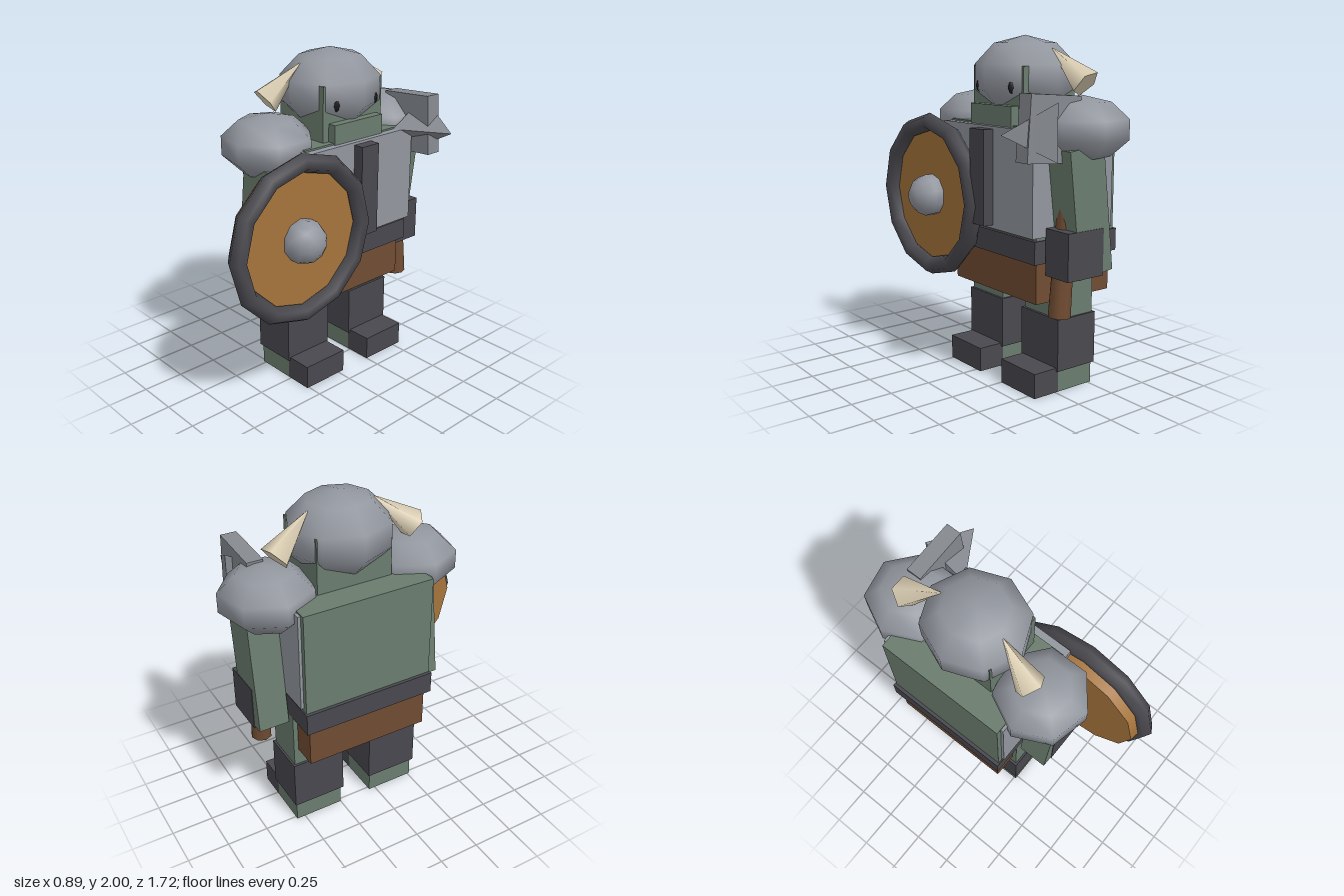
import * as THREE from 'three';

const paint = (color, flatShading = false) => new THREE.MeshStandardMaterial({ color, flatShading });
const MID = -0.145; // z of the body's plane of symmetry

export function createModel() {
  const root = new THREE.Group();
  const skin = paint(0x6a7c6e), steel = paint(0x92969e), dark = paint(0x48484e);
  const leather = paint(0x704c32), wood = paint(0xa5743c), bone = paint(0xdccfb4);
  const black = paint(0x1c1c20), blade = paint(0x85898f, true);

  const add = (name, geometry, material, x, y, z, parent = root) => {
    const mesh = new THREE.Mesh(geometry, material);
    mesh.name = name;
    mesh.position.set(x, y, z);
    parent.add(mesh);
    return mesh;
  };
  // box from its extents along each axis
  const block = (name, material, [x0, x1], [y0, y1], [z0, z1]) =>
    add(name, new THREE.BoxGeometry(x1 - x0, y1 - y0, z1 - z0), material,
      (x0 + x1) / 2, (y0 + y1) / 2, (z0 + z1) / 2);
  // box centred on the body's plane of symmetry
  const centred = (name, material, xs, ys, half) =>
    block(name, material, xs, ys, [MID - half, MID + half]);
  // tapered round part running between two points
  const rod = (name, material, from, to, r0, r1, sides) => {
    const a = new THREE.Vector3(...from), b = new THREE.Vector3(...to), d = b.clone().sub(a);
    const mesh = add(name, new THREE.CylinderGeometry(r1, r0, d.length(), sides), material,
      ...a.clone().add(b).multiplyScalar(0.5).toArray());
    mesh.quaternion.setFromUnitVectors(new THREE.Vector3(0, 1, 0), d.normalize());
    return mesh;
  };
  const ball = (name, material, x, y, z, rx, ry, rz, w, h) =>
    add(name, new THREE.SphereGeometry(1, w, h).scale(rx, ry, rz), material, x, y, z);

  // torso, armour, belt and skirt
  centred('torso', skin, [-0.43, 0.14], [0.89, 1.51], 0.4);
  centred('breastplate', steel, [-0.4, 0.185], [0.92, 1.5], 0.417);
  centred('chestStrap', dark, [0.17, 0.25], [0.94, 1.485], 0.066);
  centred('belt', dark, [-0.45, 0.16], [0.77, 0.9], 0.408);
  centred('skirt', leather, [-0.42, 0.125], [0.535, 0.78], 0.38);

  // head and helmet
  centred('head', skin, [-0.27, 0.1], [1.49, 1.83], 0.23);
  centred('jaw', skin, [0.08, 0.153], [1.49, 1.615], 0.188);
  ball('helmet', steel, -0.095, 1.765, MID, 0.3, 0.235, 0.315, 8, 5);

  // parts on both sides
  for (const s of [1, -1]) {
    const z = (d) => MID + s * d;
    const zs = (a, b) => [Math.min(z(a), z(b)), Math.max(z(a), z(b))];

    ball('eye', black, 0.115, 1.715, z(0.15), 0.03, 0.037, 0.024, 6, 4);
    rod('horn', bone, [-0.18, 1.735, z(0.42)], [-0.125, 1.925, z(0.2)], 0.088, 0.004, 5);
    ball('shoulderPad', steel, -0.117, 1.5, z(0.452), 0.277, 0.182, 0.277, 7, 5);

    add('arm', new THREE.BoxGeometry(0.24, 0.705, 0.18), skin, -0.078, 1.065, z(0.507))
      .rotation.z = -0.12;
    block('gauntlet', dark, [-0.165, 0.09], [0.705, 0.97], zs(0.415, 0.6));

    block('leg', skin, [-0.27, -0.02], [0, 0.77], zs(0.105, 0.408));
    block('greave', dark, [-0.285, -0.005], [0.125, 0.43], zs(0.093, 0.42));
    block('foot', dark, [-0.02, 0.153], [0, 0.145], zs(0.105, 0.408));
  }

  // round shield facing +x
  const shield = new THREE.Group();
  shield.name = 'shield';
  shield.position.set(0, 1.04, 0.36);
  shield.rotation.z = -Math.PI / 2;
  root.add(shield);
  add('shieldBoard', new THREE.CylinderGeometry(0.445, 0.43, 0.09, 12), wood, 0, 0.175, 0, shield);
  add('shieldRim', new THREE.TorusGeometry(0.448, 0.054, 6, 12).rotateX(Math.PI / 2),
    dark, 0, 0.232, 0, shield);
  add('shieldBoss', new THREE.SphereGeometry(0.13, 10, 7), steel, 0, 0.245, 0, shield);

  // war hammer, leaning slightly back
  rod('hammerHandle', leather, [0.037, 0.475, -0.62], [-0.04, 1.55, -0.62], 0.063, 0.042, 8);
  add('hammerHead', new THREE.BoxGeometry(0.34, 0.355, 0.095), blade, 0.13, 1.515, -0.623)
    .rotation.z = 0.07;
  // three-sided spike with one base corner toward +z
  const spike = new THREE.ConeGeometry(0.18, 0.3, 3).rotateZ(-Math.PI / 2);
  add('hammerSpike', spike, blade, 0.293, 1.5, -0.62);

  return root;
}
